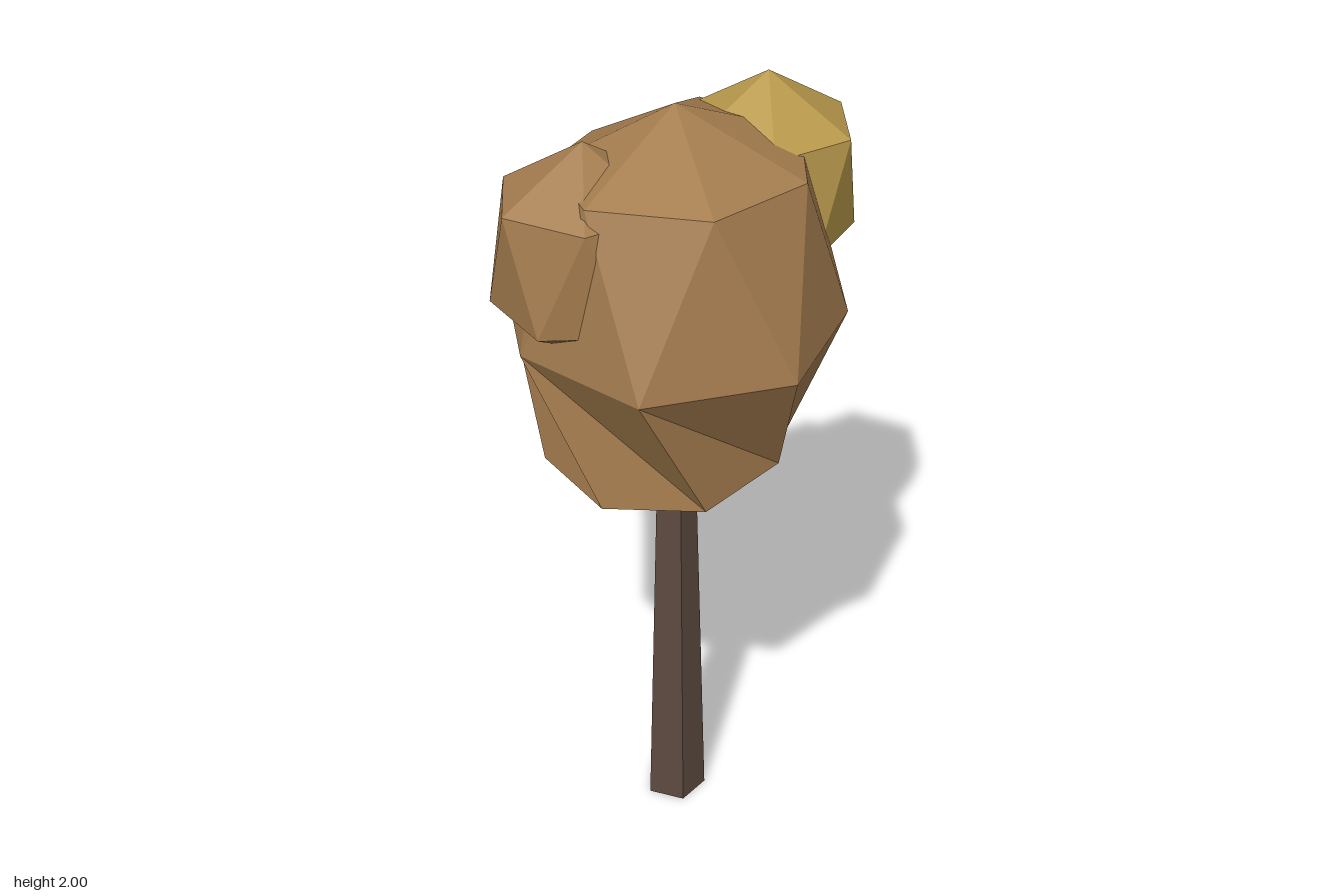
import * as THREE from 'three';

const material = (name, color) => {
  const m = new THREE.MeshStandardMaterial({ color });
  m.name = name;
  return m;
};

// Faceted closed form: apex, rings from top to bottom, lower tip.
// Each ring runs from +x towards +z; neighbouring rings are offset by half a step.
function facetedForm(top, rings, bottom) {
  const pos = [];
  const tri = (...pts) => pts.forEach((p) => pos.push(...p));
  const n = rings[0].length;
  const last = rings[rings.length - 1];
  for (let i = 0; i < n; i++) {
    const j = (i + 1) % n;
    tri(top, rings[0][j], rings[0][i]);
    for (let r = 0; r < rings.length - 1; r++) {
      const up = rings[r], low = rings[r + 1];
      tri(up[i], up[j], low[j]);
      tri(up[i], low[j], low[i]);
    }
    tri(bottom, last[i], last[j]);
  }
  const g = new THREE.BufferGeometry();
  g.setAttribute('position', new THREE.Float32BufferAttribute(pos, 3));
  g.computeVertexNormals();
  return g;
}

// Small six-sided leaf clump with two twisted rings
function puff(x, y, z, r, upperR, lowerR) {
  const ring = (radius, dy, start) => Array.from({ length: 6 }, (_, i) => {
    const a = THREE.MathUtils.degToRad(start + i * 60);
    return [x + radius * Math.cos(a), y + dy, z + radius * Math.sin(a)];
  });
  return facetedForm([x, y + r, z],
    [ring(upperR, r / 2, -30), ring(lowerR, -r / 2, -60)], [x, y - r, z]);
}

export function createModel() {
  const group = new THREE.Group();
  const bark = material('dark bark', 0x5c4a40);
  const brown = material('brown leaves', 0xa57d4f);
  const gold = material('golden leaves', 0xb8984b);

  const add = (name, geometry, mat) => {
    const mesh = new THREE.Mesh(geometry, mat);
    mesh.name = name;
    group.add(mesh);
    return mesh;
  };

  // Tapered five-sided trunk
  const trunkGeo = new THREE.CylinderGeometry(0.053, 0.08, 1, 5, 1, false, 0.23).toNonIndexed();
  trunkGeo.computeVertexNormals();
  add('trunk', trunkGeo, bark).position.y = 0.5;

  // Main crown: shoulder, widest and lower rings of seven points
  const shoulder = [
    [0.29, 1.86, 0.15], [0.07, 1.86, 0.33], [-0.21, 1.865, 0.27], [-0.29, 1.85, 0],
    [-0.186, 1.83, -0.214], [0.075, 1.86, -0.33], [0.3, 1.86, -0.14],
  ];
  const widest = [
    [0.413, 1.45, 0.005], [0.262, 1.45, 0.34], [-0.1, 1.45, 0.428], [-0.365, 1.45, 0.18],
    [-0.405, 1.45, -0.185], [-0.1, 1.45, -0.43], [0.262, 1.45, -0.34],
  ];
  const lower = [
    [0.06, 1.01, -0.325], [0.29, 1.04, -0.13], [0.245, 1.105, 0.13], [0.06, 1.08, 0.295],
    [-0.185, 1.06, 0.24], [-0.32, 1.06, 0.01], [-0.22, 1.04, -0.23],
  ];
  add('crown', facetedForm([0, 1.995, 0.005], [shoulder, widest, lower], [0, 0.915, -0.01]), brown);

  // Side clumps
  add('brownClump', puff(-0.21, 1.685, 0.1, 0.265, 0.21, 0.222), brown);
  add('goldenClump', puff(0.225, 1.735, -0.16, 0.265, 0.213, 0.215), gold);

  return group;
}
